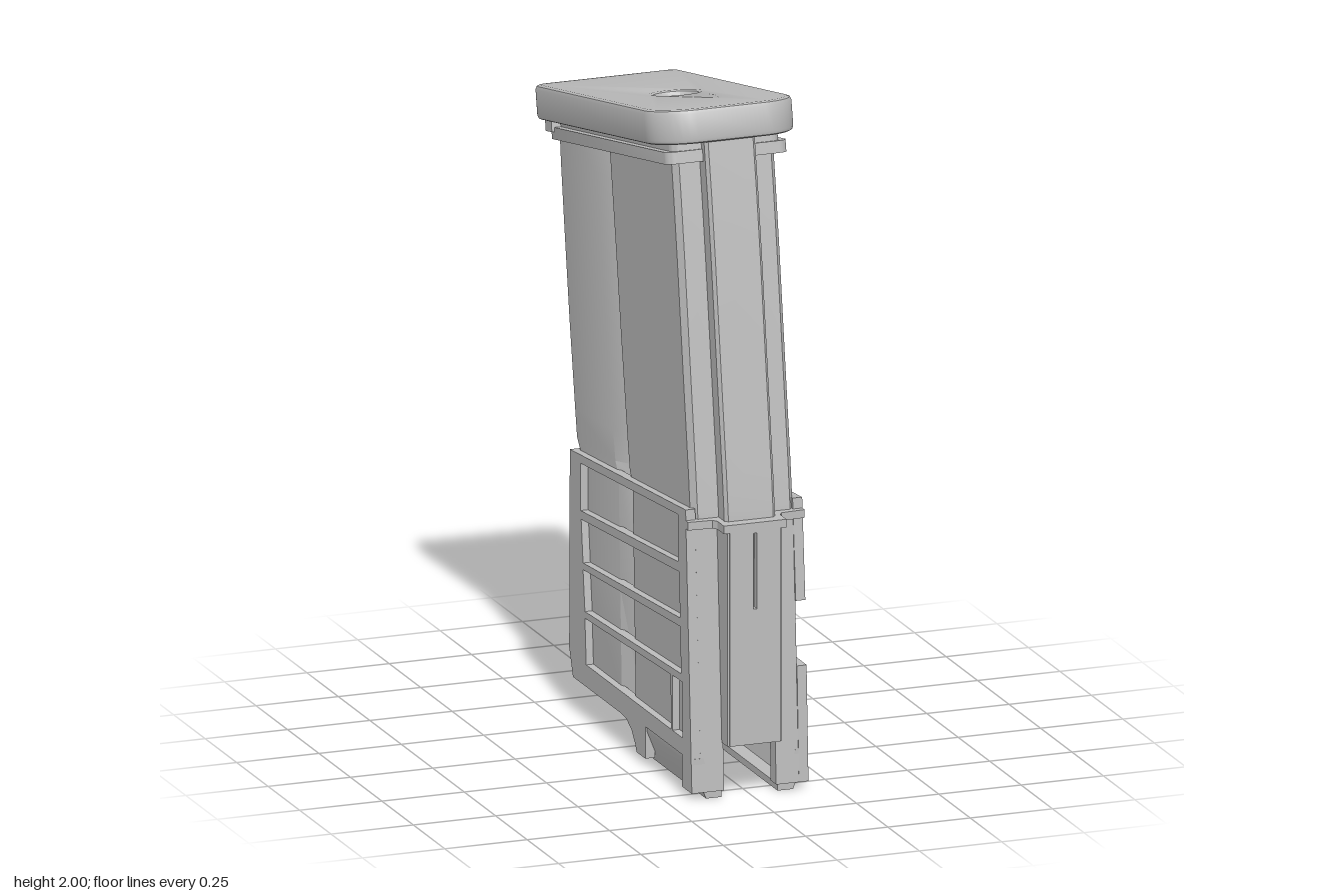
import * as THREE from 'three';
import { toCreasedNormals } from 'three/addons/utils/BufferGeometryUtils.js';

const grey = new THREE.MeshStandardMaterial({ color: 0xbcbcbc });
grey.name = 'plain grey';

const lerp = THREE.MathUtils.lerp;
const poly = (pts) => new THREE.Shape(pts.map(([a, b]) => new THREE.Vector2(a, b)));
const hole = (pts) => new THREE.Path(pts.map(([a, b]) => new THREE.Vector2(a, b)));

export function createModel() {
  const model = new THREE.Group();
  model.name = 'curvedCase';

  const add = (geo, name, parent = model) => {
    const mesh = new THREE.Mesh(toCreasedNormals(geo, 0.5), grey);
    mesh.name = name;
    parent.add(mesh);
    return mesh;
  };
  const box = (w, h, d, x, y, z, name, parent) =>
    add(new THREE.BoxGeometry(w, h, d).translate(x, y, z), name, parent);
  const extrude = (shape, depth, bevel = 0) => new THREE.ExtrudeGeometry(shape, {
    depth, curveSegments: 8, bevelEnabled: bevel > 0, bevelSize: bevel, bevelThickness: bevel, bevelSegments: 2,
  });
  // (z, y) outline extruded along x, from x0 to x1
  const sideways = (shape, x0, x1) =>
    extrude(shape, x1 - x0).rotateY(-Math.PI / 2).translate(x1, 0, 0);
  // (x, z) outline extruded downwards from yTop
  const flat = (shape, depth, yTop, bevel = 0) =>
    extrude(shape, depth - 2 * bevel, bevel).rotateX(Math.PI / 2).translate(0, yTop - bevel, 0);

  // Hollow curved body: [front z, front y, back z, back y] for each section, top to bottom
  const sections = [
    [0.40, 1.92, -0.58, 1.73], [0.433, 1.74, -0.562, 1.57], [0.462, 1.56, -0.54, 1.42],
    [0.505, 1.26, -0.495, 1.13], [0.55, 0.95, -0.45, 0.88], [0.562, 0.85, -0.435, 0.80],
    [0.566, 0.81, -0.405, 0.765], [0.575, 0.45, -0.395, 0.45], [0.58, 0.16, -0.385, 0.1],
  ];
  const ring = ([fz, fy, bz, by], i, inner) => {
    const s = lerp(-0.015, 0.018, i / (sections.length - 1));
    let half = [
      [0, 0.13], [0.025, 0.155], [0.325 + s, 0.155], [0.395 + s, 0.118], [0.44 + s, 0.155],
      [0.925, 0.155], [0.945, 0.14], [0.945, 0.077], [0.99, 0.077], [1, 0.068],
    ];
    if (inner) half = half.map(([u, w]) => [0.02 + 0.96 * u, w - 0.02]);
    const point = (u, x) => [x, lerp(by, fy, u), lerp(bz, fz, u)];
    return [...half.map(([u, w]) => point(u, w)), ...half.reverse().map(([u, w]) => point(u, -w))];
  };
  const rings = sections.map((q, i) => ring(q, i, false));
  for (let i = sections.length - 1; i > 0; i--) rings.push(ring(sections[i], i, true));
  rings.push(rings[0].map(() => [0, 1.75, -0.08]));
  const pos = [], idx = [], n = rings[0].length;
  rings.forEach((r, i) => r.forEach((p, j) => {
    pos.push(...p);
    if (i === rings.length - 1) return;
    const a = i * n + j, b = i * n + (j + 1) % n;
    idx.push(a, b, a + n, b, b + n, a + n);
  }));
  const bodyGeo = new THREE.BufferGeometry();
  bodyGeo.setAttribute('position', new THREE.Float32BufferAttribute(pos, 3));
  bodyGeo.setIndex(idx);
  add(bodyGeo, 'body');

  // Tilted cap with a shallow round recess
  const cap = new THREE.Group();
  cap.name = 'cap';
  cap.position.set(0, 1.9, -0.095);
  cap.rotation.x = -Math.atan(0.2 / 1.01);
  model.add(cap);
  const capShape = (w, back, front, r, rb) => {
    const s = new THREE.Shape();
    s.moveTo(-w + rb, back);
    s.lineTo(w - rb, back);
    s.quadraticCurveTo(w, back, w, back + rb);
    s.lineTo(w, front - r);
    s.bezierCurveTo(w, front - r * 0.5, w - r * 0.5, front, w - r, front);
    s.lineTo(-w + r, front);
    s.bezierCurveTo(-w + r * 0.5, front, -w, front - r * 0.5, -w, front - r);
    s.lineTo(-w, back + rb);
    s.quadraticCurveTo(-w, back, -w + rb, back);
    return s;
  };
  const plate = capShape(0.208, -0.5, 0.498, 0.105, 0.025);
  plate.holes.push(hole(Array.from({ length: 12 }, (_, i) => {
    const a = -i * Math.PI / 6;
    return [0.077 * Math.cos(a), 0.066 + 0.077 * Math.sin(a)];
  })));
  add(flat(plate, 0.1, 0, 0.013), 'capPlate', cap);
  add(new THREE.CylinderGeometry(0.085, 0.085, 0.05, 12).translate(0, -0.042, 0.066), 'recessFloor', cap);
  add(flat(capShape(0.165, -0.475, 0.455, 0.03, 0.01), 0.04, -0.09), 'flangeNeck', cap);
  add(flat(capShape(0.185, -0.482, 0.462, 0.03, 0.01), 0.035, -0.122), 'flange', cap);
  for (const s of [-1, 1]) box(0.03, 0.04, 0.05, s * 0.178, -0.115, -0.475, 'rearHook', cap);

  // Lower sleeve: a windowed plate on each side
  const top = (z) => 0.803 + 0.087 * z;
  const windowRow = (z0, z1, a, b) =>
    hole([[z0, top(z0) - a], [z1, top(z1) - a], [z1, top(z1) - b], [z0, top(z0) - b]]);
  for (const s of [-1, 1]) {
    const name = s > 0 ? 'left' : 'right';
    const place = (shape, x0, x1, label) =>
      add(s > 0 ? sideways(shape, x0, x1) : sideways(shape, -x1, -x0), name + label);
    const pocket = s > 0
      ? [[0.535, 0.55], [0.27, 0.555], [0.225, 0.54], [0.2, 0.5], [0.2, 0.42], [0.22, 0.38], [0.26, 0.362], [0.545, 0.36]]
      : [];
    const side = poly([
      [0.51, top(0.51)], ...pocket, [0.56, 0.02], [0.48, 0.02], [0.48, 0.115], [0.19, 0.115], [0.19, 0.02],
      [0.12, 0.02], [0.11, 0.04], [0.08, 0.075], [0.04, 0.095], [0, 0.1], [-0.385, 0.1], [-0.415, 0.18],
      [-0.41, top(-0.41)],
    ]);
    side.holes.push(windowRow(0.45, -0.325, 0.025, 0.165));
    if (s > 0) {
      side.holes.push(
        hole([[0.46, 0.65], [-0.32, 0.585], [-0.305, 0.46], [0.155, 0.488], [0.16, 0.52], [0.19, 0.57], [0.24, 0.59], [0.46, 0.6]]),
        hole([[0.155, 0.468], [-0.305, 0.44], [-0.29, 0.32], [0.47, 0.34], [0.47, 0.348], [0.25, 0.35], [0.19, 0.365], [0.16, 0.4]]),
      );
    } else {
      side.holes.push(
        hole([[0.46, 0.65], [-0.32, 0.585], [-0.305, 0.46], [0.465, 0.515]]),
        hole([[0.465, 0.49], [-0.305, 0.44], [-0.29, 0.32], [0.475, 0.352]]),
      );
    }
    side.holes.push(
      hole([[0.48, 0.33], [0.405, 0.328], [0.405, 0.165], [0.485, 0.165]]),
      hole([[0.39, 0.327], [-0.29, 0.3], [-0.28, 0.165], [0.395, 0.165]]),
    );
    place(side, 0.148, 0.177, 'SidePlate');

    // Front shoulder wall beside the open centre
    place(poly([[0.495, 0.8], [0.513, 0.8], [0.56, 0.02], [0.515, 0.02]]), 0.079, 0.149, 'FrontShoulder');

    // Chamfered lip along the lower front edge
    const lip = [[0.172, 0.12], [0.172, 0.1], [0.132, 0], [0.085, 0], [0.085, 0.02], [0.118, 0.03], [0.14, 0.12]];
    add(extrude(poly(lip.map(([x, y]) => [s * x, y])), 0.435).translate(0, 0, 0.12), name + 'Lip');
  }

  // Front rib cover with a narrow slot
  const cover = poly([[-0.076, 0.16], [0.076, 0.16], [0.076, 0.8], [-0.076, 0.8]]);
  cover.holes.push(hole([[-0.006, 0.56], [-0.006, 0.785], [0.006, 0.785], [0.006, 0.56]]));
  add(extrude(cover, 0.024).translate(0, 0, 0.576), 'frontCover');
  for (const s of [-1, 1]) box(0.008, 0.64, 0.08, s * 0.079, 0.48, 0.555, 'coverSide');

  // Stepped collar round the front of the sleeve
  const collar = [[0.177, 0.49], [0.177, 0.53], [0.105, 0.535], [0.095, 0.55], [0.095, 0.6]];
  add(flat(poly([...collar, ...collar.map(([x, z]) => [-x, z]).reverse()]), 0.024, 0.816), 'frontCollar');

  // Rear wall with chamfered foot
  const rear = poly([[-0.375, 0.1], [-0.392, 0.1], [-0.427, 0.18], [-0.418, 0.765], [-0.375, 0.765]]);
  add(sideways(rear, -0.148, 0.148), 'rearWall');

  // Two stepped grip strips on the rear wall
  for (const s of [-1, 1]) {
    for (let i = 0; i < 8; i++) {
      box(0.022, 0.037, 0.012, s * 0.04 + (i % 2 ? 0.009 : -0.009), 0.19 + i * 0.037, -0.425, 'rearGrip');
    }
  }
  return model;
}
